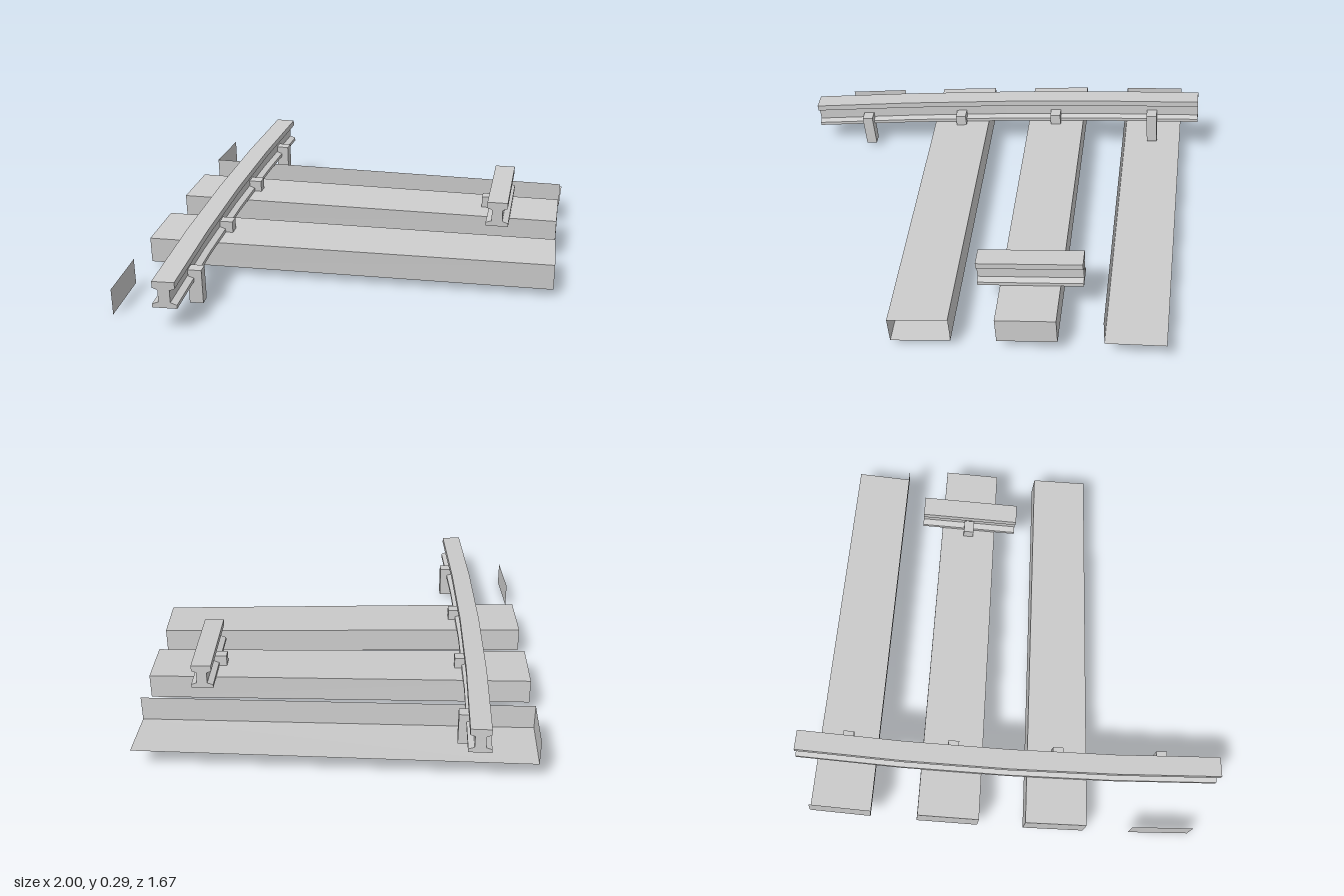
import * as THREE from 'three';

const RADIUS = 14;            // gentle curve of the track
const SLOPE = 0.071;          // steady climb
const HEADING = THREE.MathUtils.degToRad(34.7);
const PITCH = 0.39;           // sleeper spacing
const GAUGE = 0.518;          // rail offset from the track centre line
const SLEEPER = { length: 1.474, height: 0.095, width: 0.222 };

const material = new THREE.MeshStandardMaterial({
  color: 0xcccccc, flatShading: true, side: THREE.DoubleSide,
});

// Straight track space (x across, y up, -z along) to the curved, climbing track
function bend(geometry) {
  const g = geometry.index ? geometry.toNonIndexed() : geometry;
  const p = g.attributes.position;
  const cx = 0.114 + RADIUS * Math.cos(HEADING);
  const cz = 0.016 + RADIUS * Math.sin(HEADING);
  for (let i = 0; i < p.count; i++) {
    const h = p.getY(i);
    const s = -p.getZ(i);
    const lean = s - SLOPE * h;
    const a = HEADING + lean / RADIUS;
    const r = RADIUS - p.getX(i);
    p.setXYZ(i, cx - r * Math.cos(a), 0.063 + SLOPE * s + h, cz - r * Math.sin(a));
  }
  g.computeVertexNormals();
  return g;
}

function addPart(group, name, geometry) {
  const mesh = new THREE.Mesh(bend(geometry), material);
  mesh.name = name;
  group.add(mesh);
}

// Sleeper made of chosen box sides only
const SIDES = ['rightEnd', 'leftEnd', 'top', 'bottom', 'front', 'back'];
function sleeper(s, sides) {
  const g = new THREE.BoxGeometry(SLEEPER.length, SLEEPER.height, SLEEPER.width);
  const all = Array.from(g.index.array);
  g.setIndex(sides.flatMap((side) => {
    const start = SIDES.indexOf(side) * 6;
    return all.slice(start, start + 6);
  }));
  g.translate(0, SLEEPER.height / 2, -s);
  return g;
}

// I-shaped rail running from s0 to s1
function rail(u, s0, s1) {
  const half = [
    [0.042, 0.095], [0.042, 0.108], [0.02, 0.116],
    [0.02, 0.16], [0.038, 0.167], [0.038, 0.19],
  ];
  const mirrored = half.map(([x, y]) => [-x, y]).reverse();
  const shape = new THREE.Shape([...half, ...mirrored].map(([x, y]) => new THREE.Vector2(x, y)));
  const g = new THREE.ExtrudeGeometry(shape, {
    depth: s1 - s0, steps: Math.round((s1 - s0) / PITCH), bevelEnabled: false,
  });
  g.translate(u, 0, -s1);
  return g;
}

// Upright block holding the inner edge of a rail foot
function clip(u, s) {
  const g = new THREE.BoxGeometry(0.048, 0.125, 0.04);
  g.translate(u, 0.0755, -s);
  return g;
}

export function createModel() {
  const group = new THREE.Group();
  group.name = 'brokenTrack';

  // Sleepers, from the lowest remnant to the highest
  addPart(group, 'sleeperEndPlate', sleeper(-2 * PITCH, ['leftEnd']));
  addPart(group, 'openSleeper', sleeper(-PITCH, ['leftEnd', 'top', 'bottom', 'front', 'back']));
  addPart(group, 'fullSleeper', sleeper(0, SIDES));
  addPart(group, 'brokenSleeper', sleeper(PITCH, ['leftEnd', 'bottom', 'front']));

  // Rails
  addPart(group, 'longRail', rail(-GAUGE, -2.53 * PITCH, 1.47 * PITCH));
  addPart(group, 'shortRail', rail(GAUGE, -PITCH / 2, PITCH / 2));

  // Clips on the inner side of each rail
  for (let i = -2; i <= 1; i++) addPart(group, 'longRailClip', clip(-0.471, i * PITCH));
  addPart(group, 'shortRailClip', clip(0.471, 0));

  return group;
}
